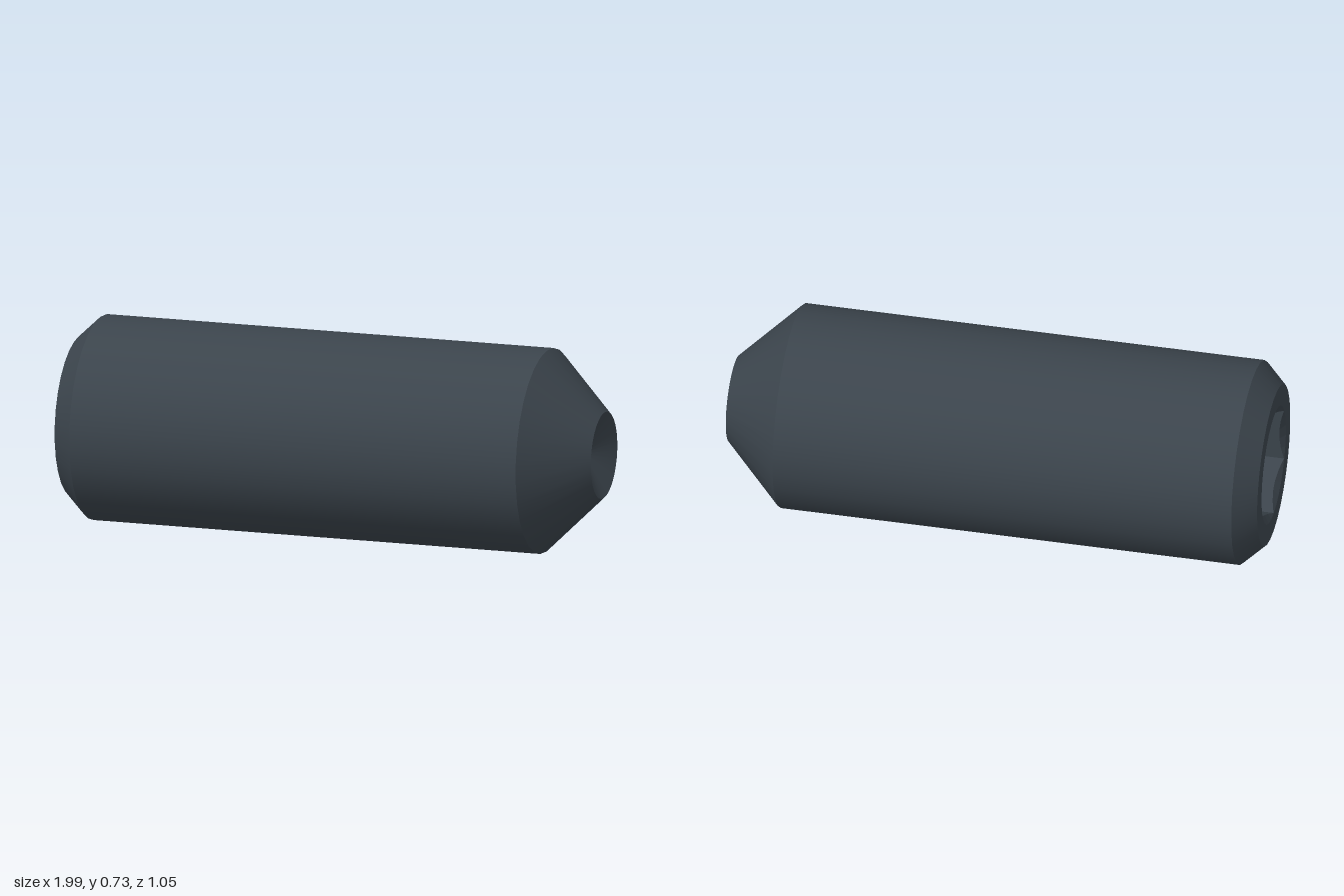
import * as THREE from 'three';

const SEGMENTS = 30;
const START = Math.PI / 2;
const TAIL = -0.96; // axial position of the socket end
const RIM = 0.213; // countersink radius
const APOTHEM = 0.183; // half the socket width across flats

// Hexagon radius at a given angle, with a corner at START
function hexRadius(angle) {
  const sector = Math.PI / 3;
  const local = (((angle - START) % sector) + sector) % sector;
  return APOTHEM / Math.cos(local - sector / 2);
}

// Surface swept through rings; each ring maps an angle to [radius, height]
function ringSurface(rings) {
  const positions = [];
  const point = (ring, i) => {
    const angle = START + (i / SEGMENTS) * Math.PI * 2;
    const [r, y] = ring(angle);
    return [r * Math.sin(angle), y, r * Math.cos(angle)];
  };
  for (let j = 0; j < rings.length - 1; j++) {
    for (let i = 0; i < SEGMENTS; i++) {
      const a = point(rings[j], i);
      const b = point(rings[j], i + 1);
      const c = point(rings[j + 1], i + 1);
      const d = point(rings[j + 1], i);
      positions.push(...a, ...b, ...d, ...c, ...d, ...b);
    }
  }
  const geometry = new THREE.BufferGeometry();
  geometry.setAttribute('position', new THREE.Float32BufferAttribute(positions, 3));
  geometry.computeVertexNormals();
  return geometry;
}

export function createModel() {
  const model = new THREE.Group();
  model.name = 'setScrew';
  const steel = new THREE.MeshStandardMaterial({ color: 0x3b444c });
  steel.name = 'dark steel';

  const screw = new THREE.Group();
  screw.name = 'screw';
  const add = (name, geometry) => {
    const mesh = new THREE.Mesh(geometry, steel);
    mesh.name = name;
    screw.add(mesh);
  };

  // Turned sections, kept separate so the edges between them stay sharp
  const sections = [
    ['socketEndFace', RIM, TAIL],
    ['socketEndChamfer', 0.29, TAIL],
    ['body', 0.365, -0.882],
    ['conicalPoint', 0.365, 0.773],
    ['cupRecess', 0.155, 0.985],
    ['cupCentre', 0, 0.905],
  ];
  for (let i = 0; i < sections.length - 1; i++) {
    const [name, r0, y0] = sections[i];
    const [, r1, y1] = sections[i + 1];
    const profile = [new THREE.Vector2(r0, y0), new THREE.Vector2(r1, y1)];
    add(name, new THREE.LatheGeometry(profile, SEGMENTS, START));
  }

  // Hex socket: floor, flat walls and a conical lead-in cut across the flats
  const floor = TAIL + 0.5;
  const floorCentre = () => [0, floor];
  const floorEdge = (angle) => [hexRadius(angle), floor];
  const wallMouth = (angle) => {
    const r = hexRadius(angle);
    return [r, TAIL + (RIM - r) * 0.6];
  };
  const rim = () => [RIM, TAIL];
  add('hexSocket', ringSurface([floorCentre, floorEdge, wallMouth]));
  add('socketCountersink', ringSurface([wallMouth, rim]));

  // Lay the screw on its side and turn it slightly towards the front
  screw.rotation.z = -Math.PI / 2;
  const turn = new THREE.Group();
  turn.name = 'layingScrew';
  turn.rotation.y = -THREE.MathUtils.degToRad(12);
  turn.position.set(0.001, 0.365, 0.01);
  turn.add(screw);
  model.add(turn);
  return model;
}
